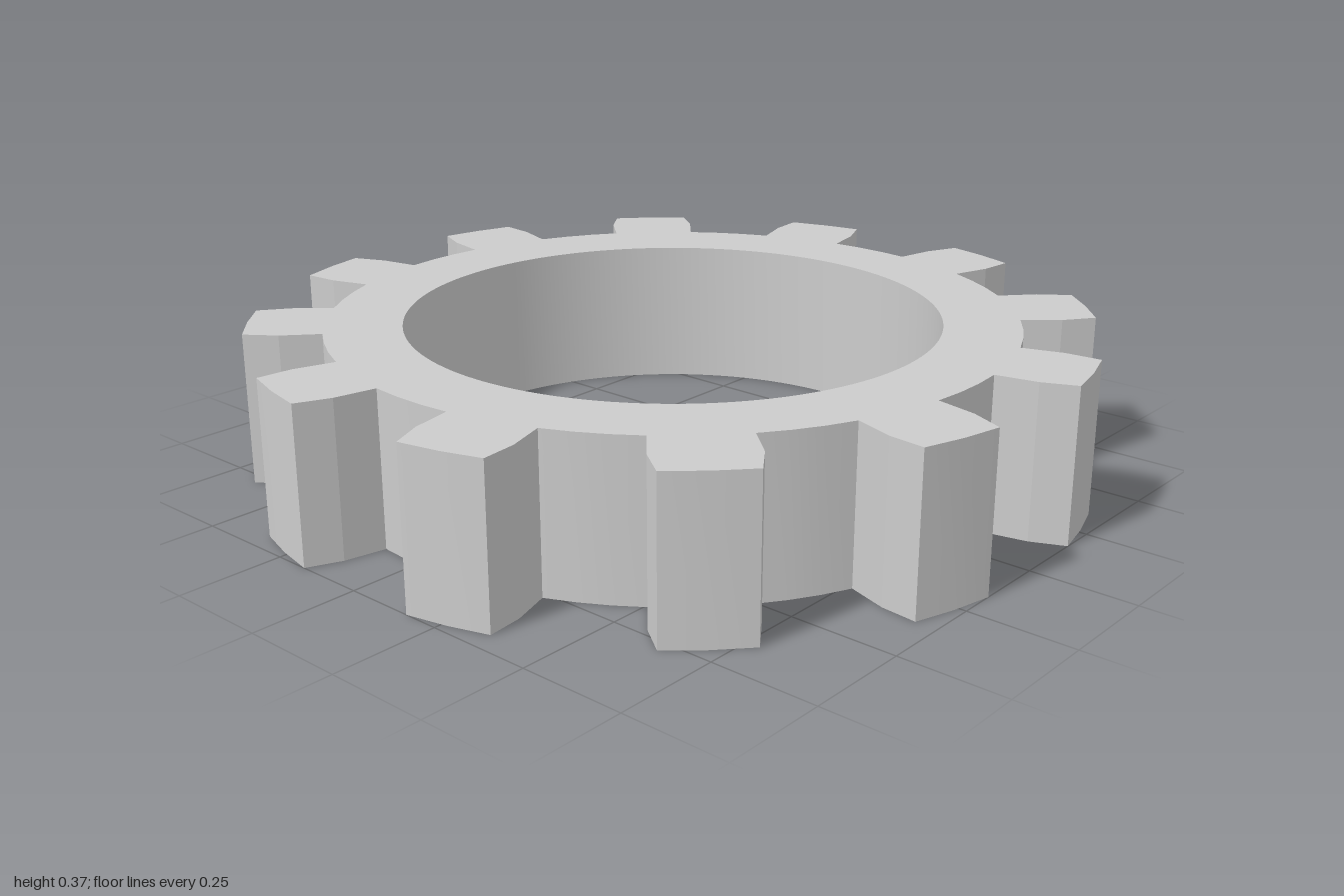
import * as THREE from 'three';
import { toCreasedNormals } from 'three/addons/utils/BufferGeometryUtils.js';

const TEETH = 12, HEIGHT = 0.37, BORE = 0.645;

// Half a tooth outline: [radius, degrees from the tooth's centre line]
const HALF_TOOTH = [[0.83, 12.5], [0.83, 7.4], [0.93, 6.95], [1.0135, 5.6]];

export function createModel() {
  const group = new THREE.Group();
  group.name = 'gear';

  // One tooth: rising flank, tip centre, falling flank
  const tooth = [
    ...HALF_TOOTH.map(([r, a]) => [r, -a]),
    [1.0135, 0],
    ...[...HALF_TOOTH].reverse(),
  ];

  // Repeat the tooth around the rim
  const outline = [];
  for (let i = 0; i < TEETH; i++) {
    for (const [r, a] of tooth) {
      const t = THREE.MathUtils.degToRad((i + 0.5) * 360 / TEETH + a);
      outline.push(new THREE.Vector2(r * Math.cos(t), r * Math.sin(t)));
    }
  }
  const shape = new THREE.Shape(outline);

  // Round bore through the middle
  shape.holes.push(new THREE.Path().absarc(0, 0, BORE, 0, Math.PI * 2, true));

  const extruded = new THREE.ExtrudeGeometry(shape, {
    depth: HEIGHT, bevelEnabled: false, curveSegments: 72,
  });
  extruded.rotateX(-Math.PI / 2);

  // Smooth bore, crisp tooth edges
  const geometry = toCreasedNormals(extruded, THREE.MathUtils.degToRad(8));
  const ring = new THREE.Mesh(geometry, new THREE.MeshStandardMaterial({ color: 0xcccccc }));
  ring.name = 'toothedRing';
  group.add(ring);
  return group;
}
